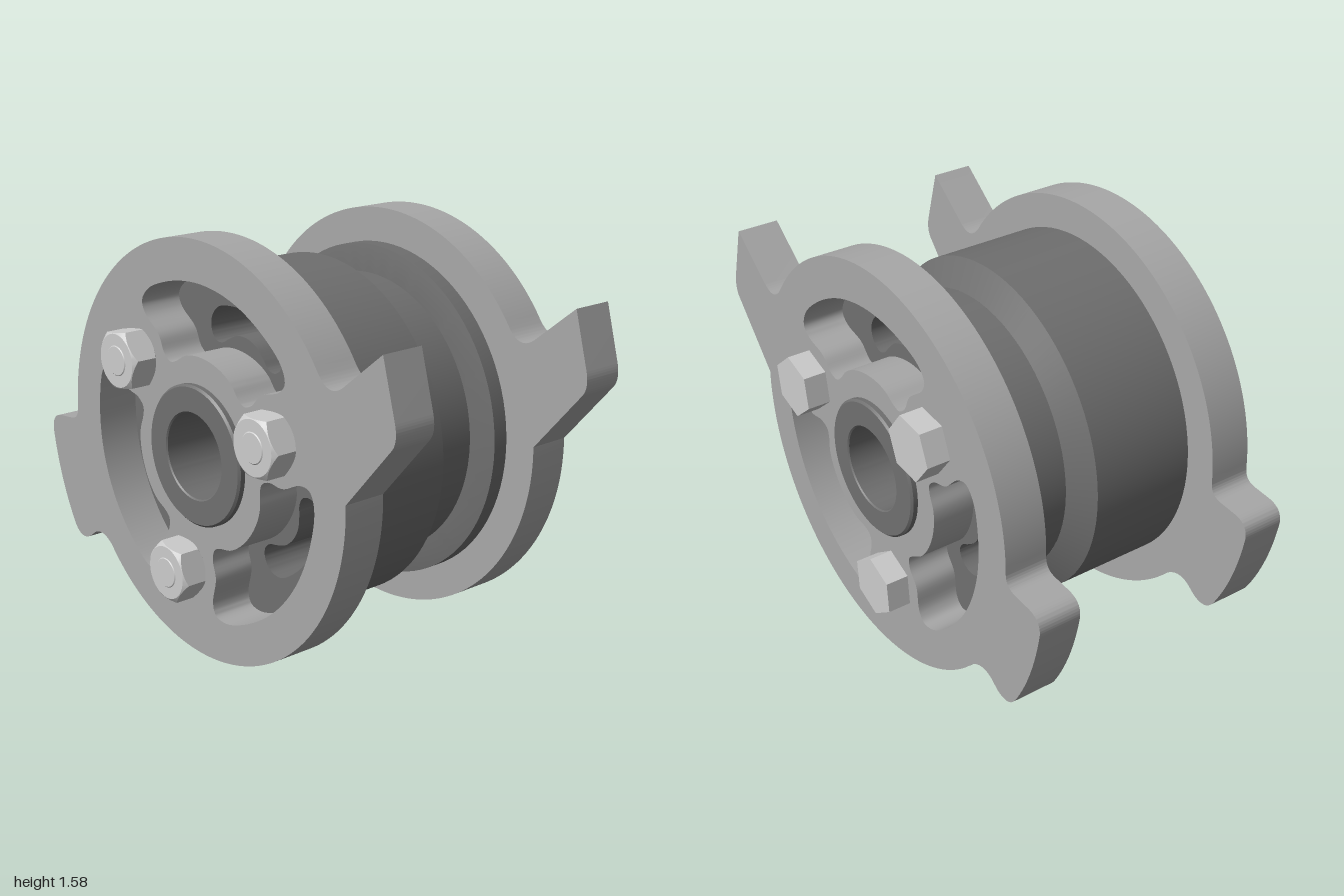
import * as THREE from 'three';
import { toCreasedNormals } from 'three/addons/utils/BufferGeometryUtils.js';

const RAD = Math.PI / 180;
const flangeGrey = new THREE.MeshStandardMaterial({ color: 0xa8a8a8 });
const drumGrey = new THREE.MeshStandardMaterial({ color: 0x6f6f6f });
const boltGrey = new THREE.MeshStandardMaterial({ color: 0xcccccc });

function addMesh(parent, name, geometry, material) {
  const mesh = new THREE.Mesh(toCreasedNormals(geometry, 0.5), material);
  mesh.name = name;
  parent.add(mesh);
  return mesh;
}

// Extrude a (z, y) shape along x from x0 to x1
function extrudeX(shape, x0, x1) {
  const g = new THREE.ExtrudeGeometry(shape, { depth: x1 - x0, bevelEnabled: false, curveSegments: 40 });
  return g.rotateY(-Math.PI / 2).translate(x1, 0, 0);
}

// Revolve a [radius, x] profile around the x axis
function latheX(profile, segments = 96) {
  const pts = profile.map(([r, x]) => new THREE.Vector2(r, x));
  return new THREE.LatheGeometry(pts, segments).rotateZ(-Math.PI / 2);
}

// Revolve a closed ring profile
const ringX = profile => latheX([...profile, profile[0]]);

// Smooth mirrored opening from half a contour of [degrees, radius] points
function opening(half, axisDeg) {
  const mirrored = half.slice(1, -1).reverse().map(([a, r]) => [-a, r]);
  const pts = [...half, ...mirrored].map(([a, r]) => {
    const t = (axisDeg + a) * RAD;
    return new THREE.Vector3(r * Math.cos(t), r * Math.sin(t), 0);
  });
  const curve = new THREE.CatmullRomCurve3(pts, true, 'centripetal');
  return new THREE.Path(curve.getPoints(110).slice(0, -1).map(p => new THREE.Vector2(p.x, p.y)));
}

function circleHole(r) {
  return new THREE.Path().absarc(0, 0, r, 0, Math.PI * 2, true);
}

const POCKET = [[0, .369], [12, .368], [22, .363], [31, .35], [37, .356], [40, .395], [39.5, .467],
  [43.4, .563], [42.4, .61], [37, .634], [25, .635], [12, .635], [0, .635]];
const SLOT = [[0, .426], [7, .42], [14, .4], [20, .384], [25, .393], [27.3, .43], [25.5, .48],
  [20, .515], [10, .523], [0, .524]];
const AXES = [80, 200, 320];

// Flange outline: disc with a pointed lug and a rounded lug
function flangeShape() {
  const s = new THREE.Shape();
  s.absarc(0, 0, .79, 34.5 * RAD, Math.PI, false);
  s.quadraticCurveTo(-.79, -.055, -.85, -.058);
  s.lineTo(-.91, -.064);
  s.quadraticCurveTo(-.985, -.07, -.979, -.139);
  s.quadraticCurveTo(-.945, -.345, -.85, -.505);
  s.quadraticCurveTo(-.81, -.57, -.743, -.535);
  s.lineTo(-.706, -.508);
  s.quadraticCurveTo(-.65, -.475, -.59, -.5255);
  s.absarc(0, 0, .79, 221.7 * RAD, 362 * RAD, false);
  s.lineTo(1.0, .267);
  s.quadraticCurveTo(1.03, .30, 1.015, .36);
  s.lineTo(.957, .572);
  s.lineTo(.77, .422);
  s.quadraticCurveTo(.705, .375, .651, .4475);
  s.holes.push(circleHole(.262), ...AXES.map(a => opening(POCKET, a)));
  return s;
}

// Hexagonal nut along x: a round blank pushed out to a hexagon, with conical chamfers at both ends
function nutX(x0, x1) {
  const mid = (x0 + x1) / 2, half = (x1 - x0) / 2, flat = .104;
  const g = latheX([[0, -half], [flat - .003, -half], [.12, -half + .01], [.12, half - .01],
    [flat - .003, half], [0, half]], 72);
  const p = g.attributes.position;
  for (let i = 0; i < p.count; i++) {
    const y = p.getY(i), z = p.getZ(i);
    if (Math.hypot(y, z) < .11) continue;
    const t = Math.atan2(y, z), sector = Math.PI / 3;
    const off = t - (Math.floor(t / sector + 1e-6) + .5) * sector;
    const r = flat / Math.cos(off);
    const x = Math.sign(p.getX(i)) * (half - .002 - (r - flat) * .8);
    p.setXYZ(i, x, r * Math.sin(t), r * Math.cos(t));
  }
  return g.translate(mid, 0, 0);
}

export function createModel() {
  const root = new THREE.Group();
  root.name = 'flangedRoller';
  const body = new THREE.Group();
  body.name = 'body';
  body.position.set(0, .791, -.02);
  root.add(body);

  // Two matching end flanges
  addMesh(body, 'rightFlange', extrudeX(flangeShape(), .378, .546), flangeGrey);
  addMesh(body, 'leftFlange', extrudeX(flangeShape(), -.536, -.368), flangeGrey);

  // Drum core with curved slots running right through
  const core = new THREE.Shape();
  core.absarc(0, 0, .553, 0, Math.PI * 2, false);
  core.holes.push(circleHole(.262), ...AXES.map(a => opening(SLOT, a)));
  addMesh(body, 'drumCore', extrudeX(core, -.368, .378), drumGrey);

  // Wide drum section and narrow rim either side of the groove
  addMesh(body, 'drumSleeve',
    ringX([[.55, -.368], [.658, -.368], [.658, .05], [.553, .11], [.55, .11]]), drumGrey);
  addMesh(body, 'drumRim',
    ringX([[.55, .295], [.553, .295], [.658, .315], [.658, .378], [.55, .378]]), drumGrey);

  // Bored centre bushing with small edge chamfers
  addMesh(body, 'bushing', ringX([[.166, -.563], [.257, -.563], [.265, -.555], [.265, .564],
    [.257, .572], [.166, .572], [.161, .567], [.161, -.558]]), drumGrey);

  // Three bolts: [angle around hub, head turn, nut turn]
  [[20, 20, 0], [140, 8, 9], [260, 25, 50]].forEach(([deg, headTurn, nutTurn], i) => {
    const bolt = new THREE.Group();
    bolt.name = 'bolt' + (i + 1);
    bolt.position.set(0, .463 * Math.sin(deg * RAD), .463 * Math.cos(deg * RAD));
    body.add(bolt);
    const head = latheX([[0, .54], [.12, .54], [.12, .637], [0, .637]], 6);
    addMesh(bolt, 'boltHead', head, boltGrey).rotation.x = -headTurn * RAD;
    addMesh(bolt, 'nut', nutX(-.64, -.534), boltGrey).rotation.x = -nutTurn * RAD;
    const end = latheX([[0, -.643], [.054, -.643], [.062, -.636], [.062, -.6]], 32);
    addMesh(bolt, 'boltEnd', end, boltGrey);
  });

  return root;
}
